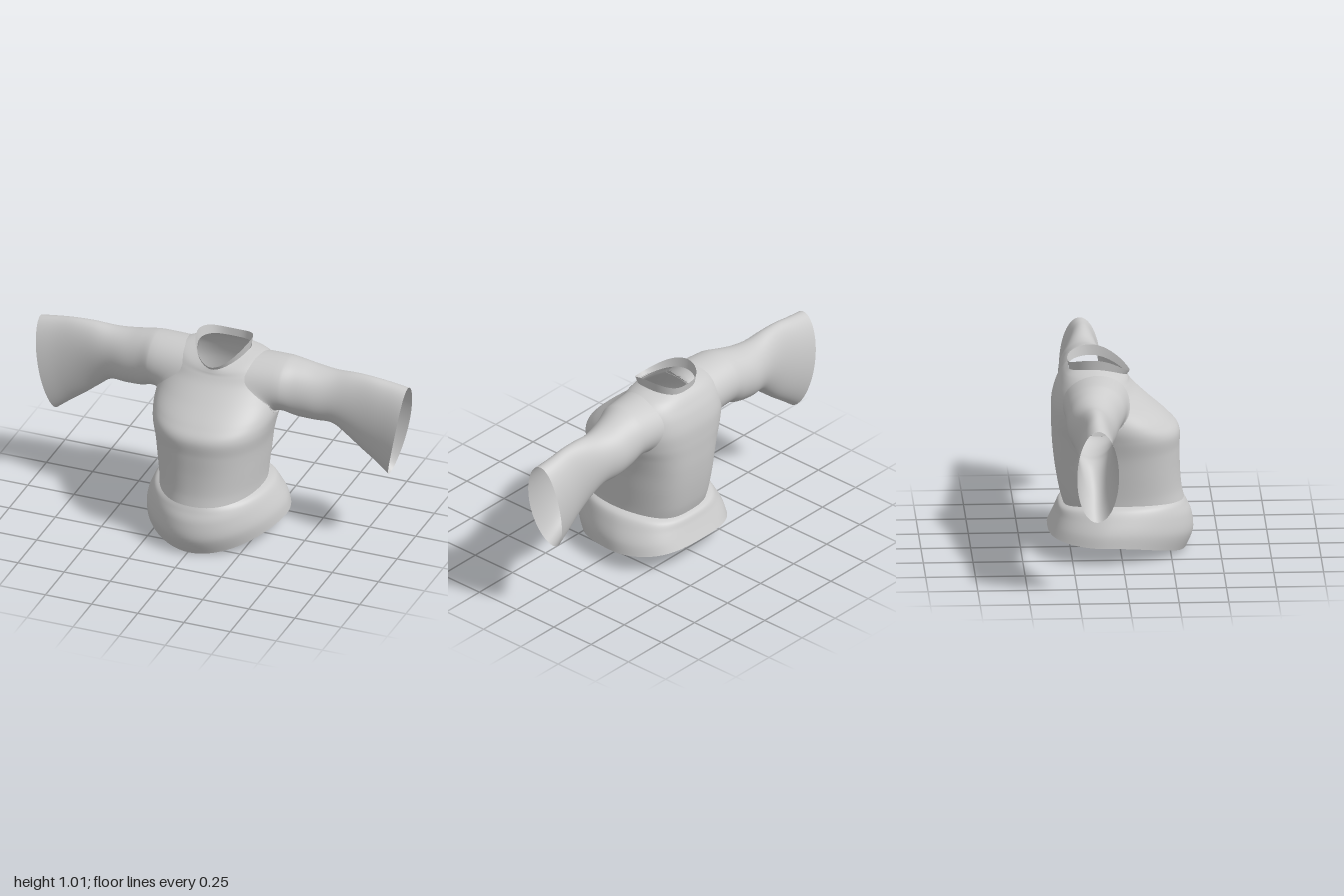
import * as THREE from 'three';

const material = new THREE.MeshStandardMaterial({ color: 0xcccccc, side: THREE.DoubleSide });

// Smoothly resample a list of cross-section rows to steps + 1 rows
function resample(rows, steps) {
  const curves = rows[0].map((_, c) => new THREE.SplineCurve(rows.map((r, i) => new THREE.Vector2(i, r[c]))));
  return Array.from({ length: steps + 1 }, (_, i) => curves.map((k) => k.getPoint(i / steps).y));
}

// Skin closed loops of points; keep(centre) may cut openings
function loft(name, rows, steps, sides, pointAt, keep = () => true) {
  const points = [];
  for (const row of resample(rows, steps)) {
    for (let j = 0; j < sides; j++) points.push(pointAt(row, (j / sides) * Math.PI * 2));
  }
  const index = [];
  for (let i = 0; i < steps; i++) {
    for (let j = 0; j < sides; j++) {
      const a = i * sides + j, b = i * sides + ((j + 1) % sides);
      const c = a + sides, d = b + sides;
      const centre = points[a].clone().add(points[d]).multiplyScalar(0.5);
      if (keep(centre)) index.push(a, c, b, b, c, d);
    }
  }
  const geometry = new THREE.BufferGeometry().setFromPoints(points);
  geometry.setIndex(index);
  geometry.computeVertexNormals();
  const mesh = new THREE.Mesh(geometry, material);
  mesh.name = name;
  return mesh;
}

const power = (v, n) => Math.sign(v) * Math.abs(v) ** (2 / n);

// Body row: half width, front z, back z, z of widest point, y at front, side, back,
// roundness of front; the body hangs slightly to the left
function bodyPoint([w, zf, zb, zc, yf, ys, yb, nf], t) {
  const c = Math.cos(t), s = Math.sin(t);
  const n = s > 0 ? nf : 2.1 + 0.6 * s * s;
  const z = zc + Math.abs(power(s, n)) * ((s > 0 ? zf : zb) - zc);
  const y = ys + s * s * ((s > 0 ? yf : yb) - ys);
  return new THREE.Vector3(0.01 + w * power(c, n), y, z);
}

// Sideways reach of a surface at a given height and depth, averaged from nearby vertices
function reachAt(mesh, side, y, z) {
  const p = mesh.geometry.attributes.position;
  let sum = 0, total = 0;
  for (let i = 0; i < p.count; i++) {
    const x = side * p.getX(i);
    if (x < 0.1) continue;
    const weight = 1 / (Math.hypot(p.getY(i) - y, p.getZ(i) - z) ** 4 + 1e-9);
    sum += weight * x;
    total += weight;
  }
  return sum / total;
}

// Sleeve row: x at top, x at bottom, top y, bottom y, back z, front z, hold on the torso
const sleevePoint = (side, torso) => ([xt, xb, yt, yb, zb, zf, hold], t) => {
  const c = Math.cos(t), s = -side * Math.sin(t);
  const y = (yt + yb) / 2 + (c * (yt - yb)) / 2;
  const z = (zf + zb) / 2 + (s * (zf - zb)) / 2;
  let x = THREE.MathUtils.lerp(xb, xt, (c + 1) / 2) + 0.15 * (xt - xb) * s * s;
  if (hold > 0) x = THREE.MathUtils.lerp(x, reachAt(torso, side, y, z), hold);
  return new THREE.Vector3(side * x, y, z);
};

export function createModel() {
  const model = new THREE.Group();
  model.name = 'shirt';

  // Torso, with an armhole cut on each side
  const torsoRows = [
    [0.262, 0.325, -0.285, -0.01, 0.25, 0.275, 0.24, 2.15],
    [0.265, 0.31, -0.305, -0.01, 0.32, 0.325, 0.31, 2.2],
    [0.275, 0.302, -0.325, -0.01, 0.42, 0.42, 0.42, 2.25],
    [0.288, 0.3, -0.338, -0.01, 0.53, 0.53, 0.53, 2.25],
    [0.307, 0.298, -0.343, -0.02, 0.62, 0.62, 0.62, 2.25],
    [0.32, 0.25, -0.345, -0.06, 0.68, 0.69, 0.69, 2.2],
    [0.318, 0.16, -0.342, -0.11, 0.76, 0.77, 0.77, 2.1],
    [0.305, 0.085, -0.325, -0.13, 0.83, 0.84, 0.84, 2.05],
    [0.28, 0.052, -0.302, -0.13, 0.87, 0.9, 0.89, 2],
    [0.225, 0.043, -0.282, -0.13, 0.888, 0.942, 0.922, 1.9],
    [0.138, 0.035, -0.26, -0.14, 0.905, 0.963, 0.945, 1.85],
  ];
  const outsideArmhole = (p) =>
    Math.abs(p.x) < 0.12 || Math.hypot((p.y - 0.805) / 0.141, (p.z + 0.128) / 0.16) > 1;
  const torso = loft('torso', torsoRows, 100, 128, bodyPoint, outsideArmhole);
  model.add(torso);

  // Flared hem, bulging out below the waist crease at the sides and back
  const hem = [
    [0.362, 0.33, -0.365, -0.08, 0, 0.09, 0.113, 1.95],
    [0.353, 0.368, -0.345, -0.07, 0.09, 0.15, 0.155, 1.95],
    [0.328, 0.36, -0.325, -0.05, 0.18, 0.21, 0.2, 2],
    [0.298, 0.336, -0.31, -0.03, 0.235, 0.262, 0.235, 2.1],
    [0.262, 0.322, -0.285, -0.01, 0.262, 0.28, 0.25, 2.15],
  ];
  model.add(loft('hem', hem, 24, 96, bodyPoint));

  // Standing collar, low at the front
  const collar = [
    [0.135, 0.035, -0.258, -0.14, 0.9, 0.96, 0.943, 1.85],
    [0.143, 0.05, -0.264, -0.14, 0.92, 1.013, 0.982, 1.85],
  ];
  model.add(loft('collar', collar, 4, 64, bodyPoint));

  // Sleeves, rooted on the torso and flaring down to wide slanted cuffs
  const sleeve = [
    [0.27, 0.27, 0.95, 0.66, -0.297, 0.041, 1],
    [0.35, 0.35, 0.95, 0.668, -0.29, 0.012, 0],
    [0.42, 0.42, 0.938, 0.642, -0.287, -0.015, 0],
    [0.51, 0.51, 0.92, 0.63, -0.285, -0.037, 0],
    [0.6, 0.6, 0.915, 0.625, -0.267, -0.06, 0],
    [0.7, 0.67, 0.925, 0.575, -0.25, -0.07, 0],
    [0.8, 0.75, 0.925, 0.51, -0.242, -0.072, 0],
    [0.9, 0.83, 0.913, 0.45, -0.252, -0.065, 0],
    [0.995, 0.9, 0.9, 0.395, -0.26, -0.05, 0],
  ];
  for (const side of [1, -1]) {
    model.add(loft(side > 0 ? 'leftSleeve' : 'rightSleeve', sleeve, 40, 64, sleevePoint(side, torso)));
  }
  return model;
}
